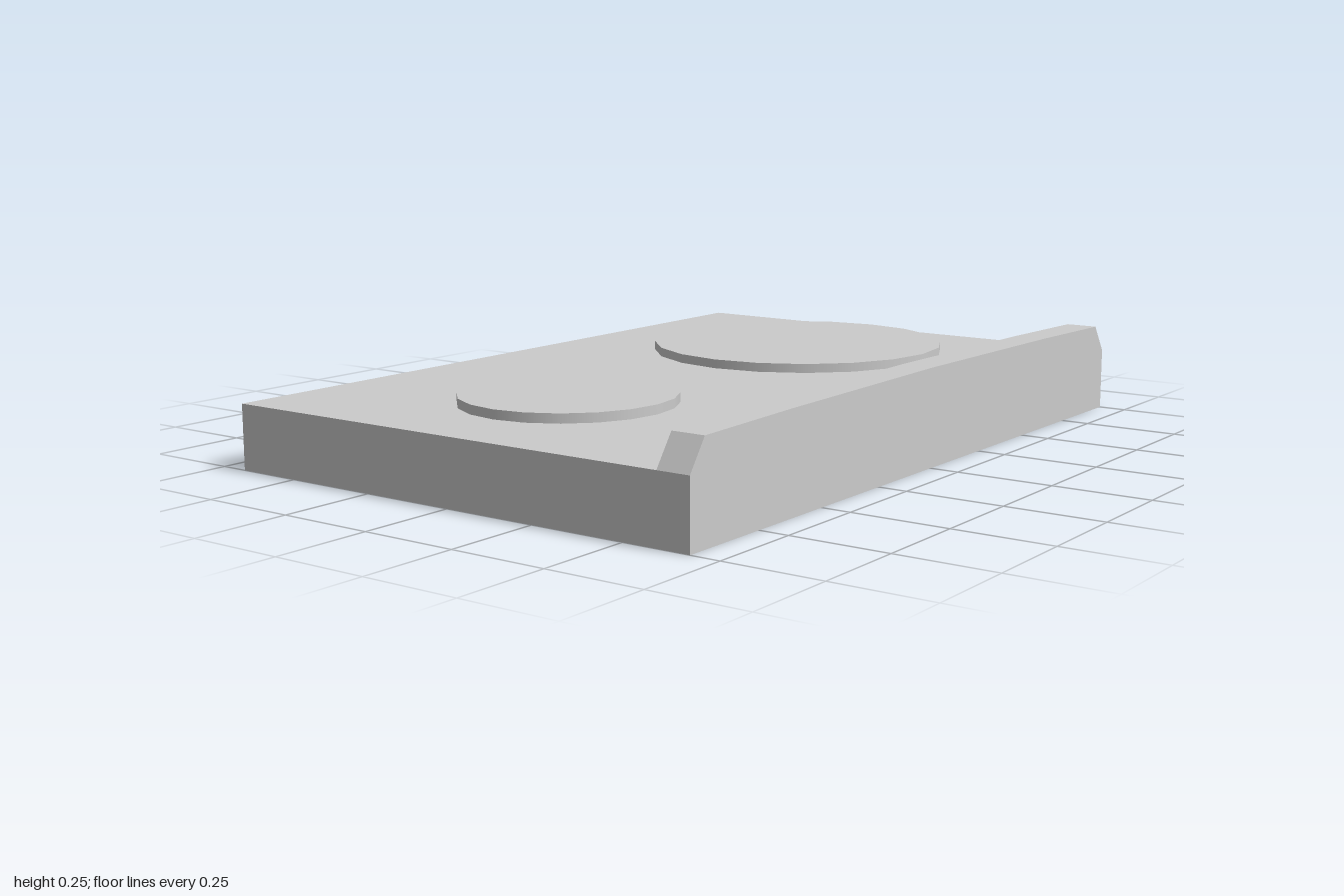
import * as THREE from 'three';

const W = 0.675, L = 1, TOP = 0.166, RAIL_X = 0.59, BURNER_TOP = 0.19;
const SIDES = 20;
const burners = [
  { name: 'largeBurner', x: -0.044, z: -0.505, r: 0.41 },
  { name: 'smallBurner', x: -0.044, z: 0.52, r: 0.273 },
];

export function createModel() {
  const model = new THREE.Group();
  const thin = new THREE.MeshStandardMaterial({ color: 0xcccccc, side: THREE.DoubleSide });
  const solid = new THREE.MeshStandardMaterial({ color: 0xcccccc, flatShading: true });

  const add = (parent, name, geometry, material = thin) => {
    const mesh = new THREE.Mesh(geometry, material);
    mesh.name = name;
    parent.add(mesh);
    return mesh;
  };

  // Top plate, open beneath each hollow burner
  const plate = new THREE.Shape([[-W, -L], [RAIL_X, -L], [RAIL_X, L], [-W, L]]
    .map(([x, y]) => new THREE.Vector2(x, y)));
  for (const { x, z, r } of burners) {
    const rim = [];
    for (let i = 0; i < SIDES; i++) {
      const a = -i / SIDES * Math.PI * 2;
      rim.push(new THREE.Vector2(x + r * Math.cos(a), -z + r * Math.sin(a)));
    }
    plate.holes.push(new THREE.Path(rim));
  }
  add(model, 'topPlate', new THREE.ShapeGeometry(plate).rotateX(-Math.PI / 2)).position.y = TOP;

  // Thin walls of the open-bottomed body
  const span = RAIL_X + W, midX = (RAIL_X - W) / 2;
  const walls = [
    ['frontWall', span, midX, L, 0],
    ['backWall', span, midX, -L, Math.PI],
    ['sideWall', 2 * L, -W, 0, -Math.PI / 2],
  ];
  for (const [name, width, x, z, turn] of walls) {
    const wall = add(model, name, new THREE.PlaneGeometry(width, TOP));
    wall.position.set(x, TOP / 2, z);
    wall.rotation.y = turn;
  }

  // Raised round burners: a smooth rim and a flat lid
  const h = BURNER_TOP - TOP;
  for (const { name, x, z, r } of burners) {
    const burner = new THREE.Group();
    burner.name = name;
    burner.position.set(x, TOP, z);
    add(burner, 'rim', new THREE.CylinderGeometry(r, r, h, SIDES, 1, true)).position.y = h / 2;
    add(burner, 'lid', new THREE.CircleGeometry(r, SIDES).rotateX(-Math.PI / 2)).position.y = h;
    model.add(burner);
  }

  // Solid side rail with sloped ends and a slightly crowned top
  const half = [[L, 0], [L, TOP], [0.948, 0.24], [0.62, 0.246]];
  const profile = [...half, [0, 0.251], ...half.map(([z, y]) => [-z, y]).reverse()];
  const rail = new THREE.ExtrudeGeometry(
    new THREE.Shape(profile.map(([z, y]) => new THREE.Vector2(z, y))),
    { depth: W - RAIL_X, bevelEnabled: false });
  rail.rotateY(Math.PI / 2).translate(RAIL_X, 0, 0);
  add(model, 'sideRail', rail, solid);

  return model;
}
